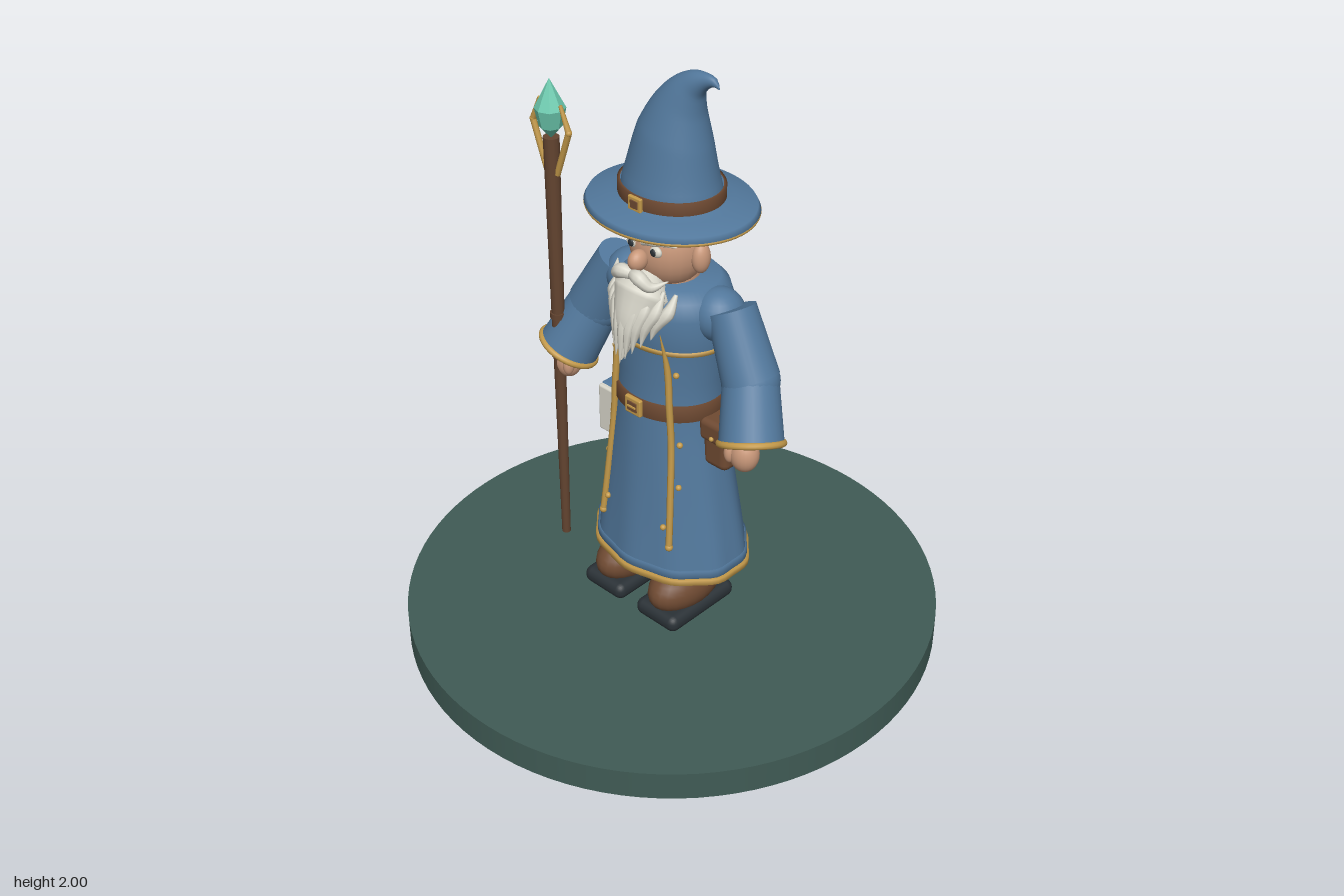
import * as THREE from 'three';
import { mergeVertices } from 'three/addons/utils/BufferGeometryUtils.js';
import { RoundedBoxGeometry } from 'three/addons/geometries/RoundedBoxGeometry.js';

const paint = (name, color) => {
  const m = new THREE.MeshStandardMaterial({ color });
  m.name = name;
  return m;
};
const V = (x, y, z) => new THREE.Vector3(x, y, z);

// Robe cross-sections: [y, half width, half depth, centre z]
const ROBE = [
  [0.29, 0.276, 0.212, 0], [0.34, 0.27, 0.207, 0], [0.45, 0.252, 0.195, 0], [0.6, 0.227, 0.179, 0.002],
  [0.75, 0.203, 0.167, 0.003], [0.88, 0.182, 0.157, 0.003], [1.0, 0.182, 0.153, 0], [1.13, 0.197, 0.16, -0.002],
];
const pleat = (y, a) => 1 + 0.016 * THREE.MathUtils.clamp((0.88 - y) / 0.55, 0, 1) * Math.cos(a * 10);

function robeAt(y) {
  let i = 0;
  while (i < ROBE.length - 2 && y > ROBE[i + 1][0]) i++;
  const t = Math.min(1, (y - ROBE[i][0]) / (ROBE[i + 1][0] - ROBE[i][0]));
  return ROBE[i].map((v, k) => THREE.MathUtils.lerp(v, ROBE[i + 1][k], t));
}
const robeFront = (x, y) => {
  const [, rx, rz, cz] = robeAt(y);
  return cz + rz * Math.sqrt(1 - (x / rx) ** 2) * pleat(y, Math.asin(x / rx));
};

const smooth = (g) => {
  g.deleteAttribute('uv');
  g.deleteAttribute('normal');
  const m = mergeVertices(g, 1e-5);
  m.computeVertexNormals();
  return m;
};

// Stacked ellipses, listed from bottom to top
function ellipses(rows) {
  const g = new THREE.LatheGeometry(rows.map((r) => new THREE.Vector2(1, r[0])), 60);
  const p = g.attributes.position;
  for (let k = 0; k < p.count; k++) {
    const [y, rx, rz, cz = 0] = rows[k % rows.length];
    const s = pleat(y, Math.atan2(p.getX(k), p.getZ(k)));
    p.setXYZ(k, p.getX(k) * rx * s, y, p.getZ(k) * rz * s + cz);
  }
  return smooth(g);
}
const band = (y0, y1, rx, rz, cz, out) => ellipses([
  [y0, rx, rz, cz], [y0, rx + out, rz + out, cz], [y1, rx + out, rz + out, cz], [y1, rx, rz, cz]]);

// Tube along a curve whose radius follows a list
function taper(points, radii, seg = 16, sides = 10) {
  const curve = new THREE.CatmullRomCurve3(points);
  const g = new THREE.TubeGeometry(curve, seg, 1, sides, false);
  const p = g.attributes.position, v = V(0, 0, 0);
  for (let k = 0; k < p.count; k++) {
    const u = Math.floor(k / (sides + 1)) / seg;
    const c = curve.getPointAt(u), f = curve.getUtoTmapping(u) * (radii.length - 1);
    const i = Math.min(radii.length - 2, Math.floor(f));
    v.fromBufferAttribute(p, k).sub(c).multiplyScalar(THREE.MathUtils.lerp(radii[i], radii[i + 1], f - i)).add(c);
    p.setXYZ(k, v.x, v.y, v.z);
  }
  return smooth(g);
}

// Straight rod from a to b
function rod(a, b, ra, rb, sides = 20) {
  const d = b.clone().sub(a);
  const g = new THREE.CylinderGeometry(rb, ra, d.length(), sides);
  g.applyQuaternion(new THREE.Quaternion().setFromUnitVectors(V(0, 1, 0), d.normalize()));
  const c = a.clone().add(b).multiplyScalar(0.5);
  return g.translate(c.x, c.y, c.z);
}
const ball = (x, y, z, rx, ry = rx, rz = rx) =>
  new THREE.SphereGeometry(1, 24, 16).scale(rx, ry, rz).translate(x, y, z);
const block = (x, y, z, w, h, d, r = 0.01) => new RoundedBoxGeometry(w, h, d, 3, r).translate(x, y, z);

export function createModel() {
  const model = new THREE.Group();
  const blue = paint('blue cloth', 0x52789c), gold = paint('gold', 0xc49a4a), leather = paint('leather', 0x6f4a32);
  const skin = paint('skin', 0xc9987a), white = paint('white hair', 0xd8d6ca), black = paint('black', 0x2a3136);
  const wood = paint('wood', 0x634430), crystal = paint('crystal', 0x6cc9ae), stone = paint('green stone', 0x405b55);
  const add = (name, geometry, material) => {
    const m = new THREE.Mesh(geometry, material);
    m.name = name;
    model.add(m);
    return m;
  };

  add('base', new THREE.CylinderGeometry(0.886, 0.886, 0.1, 96).translate(0, 0.05, 0), stone);

  // Robe, belt and trims
  add('robe', ellipses([[0.29, 0, 0], ...ROBE]), blue);
  add('hemTrim', band(0.295, 0.315, 0.274, 0.21, 0, 0.01), gold);
  add('hemFold', band(0.32, 0.345, 0.268, 0.205, 0, 0.008), blue);
  add('shoulderYoke', ellipses([[1.125, 0.19, 0.15], [1.13, 0.204, 0.166, -0.003], [1.24, 0.205, 0.172, -0.005],
    [1.29, 0.185, 0.155, -0.01], [1.32, 0.155, 0.125, -0.012], [1.325, 0, 0, -0.01]]), blue);
  add('yokeTrim', band(1.122, 1.136, 0.198, 0.16, -0.003, 0.01), gold);
  add('belt', band(0.88, 0.935, 0.178, 0.153, 0.003, 0.012), leather);
  add('beltBuckle', block(0, 0.908, 0.17, 0.066, 0.06, 0.016, 0.005), gold);
  add('buckleCentre', block(0, 0.908, 0.177, 0.04, 0.034, 0.008, 0.002), leather);
  add('bucklePin', block(0, 0.908, 0.181, 0.034, 0.008, 0.006, 0.002), gold);

  // Pouch and book on the belt
  add('pouch', block(0.228, 0.79, 0, 0.1, 0.14, 0.11, 0.025), leather);
  add('pouchFlap', block(0.226, 0.85, 0, 0.122, 0.08, 0.12, 0.02), leather);
  add('pouchStud', ball(0.226, 0.835, 0.062, 0.008), gold);
  add('bookCover', block(-0.225, 0.72, 0.01, 0.108, 0.18, 0.06, 0.008), blue);
  add('bookPages', block(-0.229, 0.72, 0.03, 0.1, 0.172, 0.05, 0.008), white);

  for (const s of [-1, 1]) {
    // Front cords with beads
    const path = [1.2, 1.06, 0.94, 0.8, 0.62, 0.43].map((y) => {
      const x = s * (0.1 + (1.2 - y) * 0.062);
      return V(x, y, y > 1.12 ? 0.157 : robeFront(x, y) + (y > 0.9 && y < 1 ? 0.013 : 0.006));
    });
    add('frontCord', taper(path, [0.001, 0.011, 0.011, 0.011, 0.011, 0.011], 30, 8), gold);
    add('cordEnd', ball(path[5].x, 0.432, path[5].z, 0.013), gold);
    for (const y of [1.05, 0.8, 0.65, 0.5]) {
      const x = s * (0.12 + (1.2 - y) * 0.062 - (y < 0.55 ? 0.04 : 0));
      add('bead', ball(x, y, robeFront(x, y) + 0.005, 0.01), gold);
    }

    // Arms
    const elbow = V(s * 0.33, 1.075, 0.005), cuff = V(s * 0.395, 0.908, 0.07);
    add('upperSleeve', rod(V(s * 0.23, 1.272, -0.015), elbow, 0.076, 0.09, 32), blue);
    add('shoulder', ball(s * 0.18, 1.235, -0.012, 0.085), blue);
    add('elbow', ball(elbow.x, elbow.y - 0.005, elbow.z, 0.09), blue);
    add('lowerSleeve', rod(elbow, cuff, 0.086, 0.1, 32), blue);
    const ring = new THREE.TorusGeometry(0.097, 0.011, 10, 36);
    ring.applyQuaternion(new THREE.Quaternion().setFromUnitVectors(V(0, 0, 1), cuff.clone().sub(elbow).normalize()));
    add('cuffTrim', ring.translate(cuff.x, cuff.y, cuff.z), gold);
    add('hand', ball(s * 0.382, 0.87, 0.085, 0.047, 0.06, 0.045), skin);
    add('thumb', ball(s * 0.35, 0.875, 0.115, 0.018, 0.035, 0.02), skin);

    // Feet
    add('boot', ball(s * 0.12, 0.22, 0.065, 0.088, 0.085, 0.15), leather);
    add('bootShaft', rod(V(s * 0.12, 0.2, 0.02), V(s * 0.12, 0.32, 0.02), 0.075, 0.07), leather);
    add('sole', block(s * 0.12, 0.152, 0.064, 0.178, 0.06, 0.3, 0.028), black);

    // Sides of the face
    add('ear', ball(s * 0.128, 1.415, 0.01, 0.027, 0.05, 0.032), skin);
    add('eye', ball(s * 0.048, 1.447, 0.118, 0.022, 0.018, 0.012), white);
    add('iris', ball(s * 0.046, 1.447, 0.128, 0.011, 0.012, 0.006), black);
    add('eyebrow', taper([V(s * 0.01, 1.472, 0.137), V(s * 0.055, 1.49, 0.133), V(s * 0.1, 1.467, 0.085)],
      [0.008, 0.016, 0.002]), white);
    add('moustache', taper([V(0, 1.375, 0.17), V(s * 0.035, 1.378, 0.178), V(s * 0.07, 1.355, 0.165), V(s * 0.105, 1.372, 0.125)],
      [0.016, 0.024, 0.018, 0.001]), white);
  }

  // Head and beard
  add('head', ball(0, 1.425, 0.012, 0.122, 0.14, 0.118), skin);
  add('neck', rod(V(0, 1.28, 0), V(0, 1.36, 0), 0.09, 0.09), skin);
  add('nose', ball(0, 1.412, 0.145, 0.027, 0.034, 0.035), skin);
  add('beardCore', taper([V(0, 1.365, 0.085), V(0, 1.3, 0.125), V(0, 1.22, 0.175), V(0, 1.1, 0.222)],
    [0.02, 0.085, 0.052, 0.003], 20, 16).scale(1.15, 1, 1), white);
  for (let i = -4; i <= 4; i++) {
    const a = Math.abs(i), z = -0.0035 * i * i;
    add('beardStrand', taper([V(i * 0.028, 1.355 - 0.009 * a, 0.155 + z), V(i * 0.028, 1.27, 0.19 + z),
      V(i * 0.021, 1.2 + 0.006 * a, 0.212 + z), V(i * 0.019, 1.09 + 0.022 * a, 0.228 + z)],
    [0.006, 0.021, 0.018, 0.001], 16, 8), white);
  }

  // Hat
  const squash = (g) => g.scale(1, 1, 0.87);
  const brim = [[0, 1.55], [0.18, 1.55], [0.268, 1.543], [0.279, 1.55], [0.27, 1.566], [0.2, 1.577], [0.16, 1.59]];
  add('hatBrim', squash(smooth(new THREE.LatheGeometry(brim.map(([x, y]) => new THREE.Vector2(x, y)), 60))), blue);
  add('brimTrim', squash(new THREE.TorusGeometry(0.273, 0.007, 8, 60).rotateX(Math.PI / 2).translate(0, 1.546, 0)), gold);
  add('hatCone', squash(taper([V(0, 1.57, 0), V(0, 1.63, 0), V(0.014, 1.79, 0), V(0.044, 1.89, 0), V(0.085, 1.95, 0),
    V(0.13, 1.976, 0), V(0.163, 1.98, 0), V(0.183, 1.965, 0)],
  [0.167, 0.158, 0.118, 0.078, 0.046, 0.025, 0.014, 0.001], 40, 36)), blue);
  add('hatBand', band(1.58, 1.625, 0.162, 0.142, 0, 0.009), leather);
  add('hatBuckle', block(0, 1.602, 0.153, 0.052, 0.046, 0.014, 0.004), gold);
  add('hatBuckleCentre', block(0, 1.602, 0.158, 0.03, 0.026, 0.008, 0.002), leather);

  // Staff with a crystal held by two prongs
  const sx = -0.397, sz = 0.11;
  add('staff', rod(V(sx, 0.175, sz), V(sx, 1.67, sz), 0.015, 0.026, 12), wood);
  for (const y of [0.89, 1.035]) add('staffKnot', rod(V(sx, y, sz), V(sx, y + 0.02, sz), 0.026, 0.026, 12), wood);
  for (const s of [-1, 1]) {
    const pts = [[0.022, 1.55], [0.078, 1.705], [0.045, 1.785]].map(([x, y]) => V(sx + s * x, y, sz));
    add('prong', rod(pts[0], pts[1], 0.01, 0.01, 8), gold);
    add('prong', rod(pts[1], pts[2], 0.01, 0.006, 8), gold);
    add('prongJoint', ball(pts[1].x, pts[1].y, sz, 0.0105), gold);
  }
  const gem = new THREE.LatheGeometry([[0, 1.665], [0.036, 1.705], [0.049, 1.765], [0, 1.86]]
    .map(([x, y]) => new THREE.Vector2(x, y)), 8).toNonIndexed();
  gem.computeVertexNormals();
  add('crystal', gem.translate(sx, 0, sz), crystal);

  return model;
}
